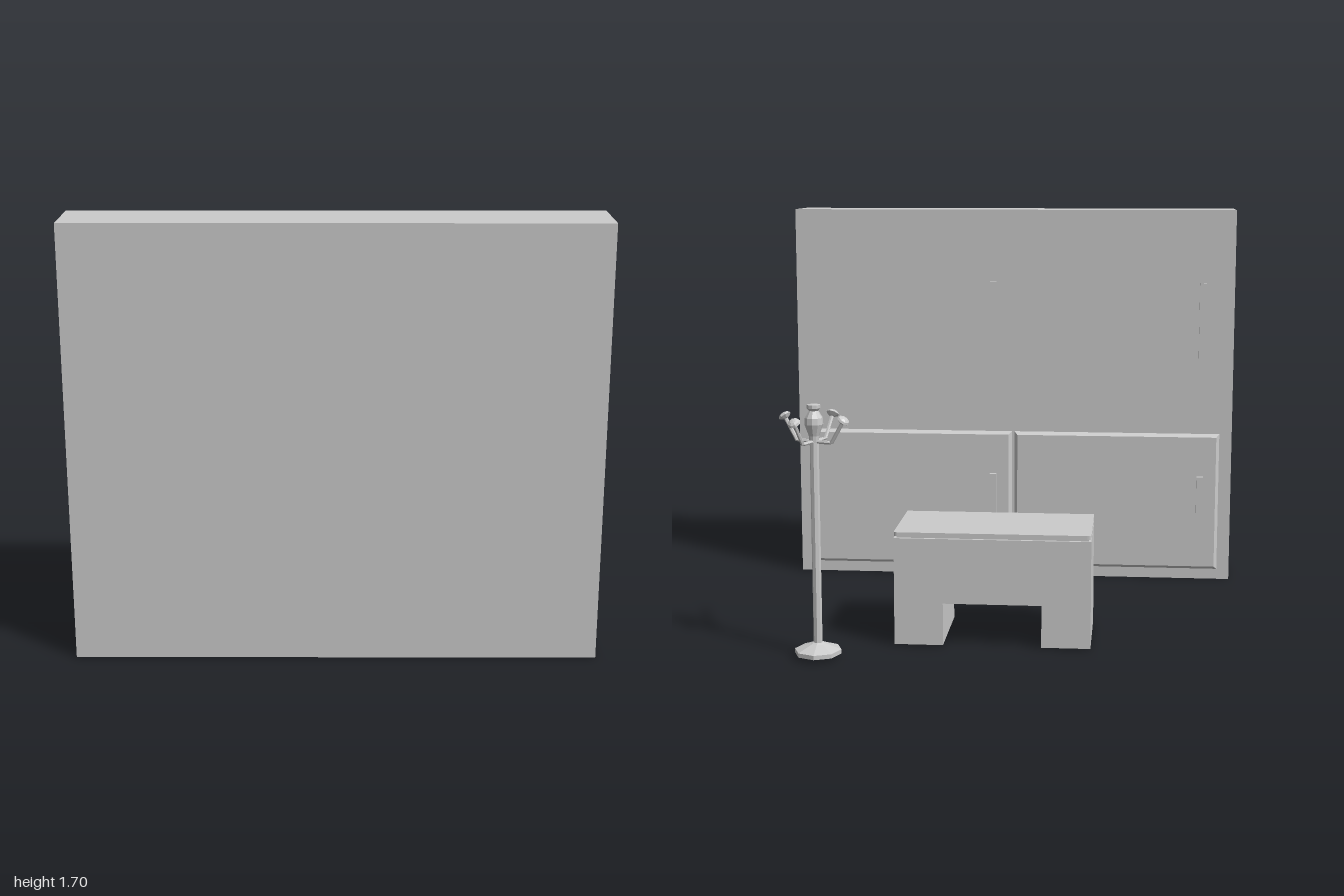
import * as THREE from 'three';

const grey = new THREE.MeshStandardMaterial({ color: 0xcccccc, flatShading: true });

function add(parent, name, geometry, x = 0, y = 0, z = 0) {
  const mesh = new THREE.Mesh(geometry, grey);
  mesh.name = name;
  mesh.position.set(x, y, z);
  parent.add(mesh);
  return mesh;
}

// Box given by its minimum and maximum corners
function box(parent, name, [x0, y0, z0], [x1, y1, z1]) {
  return add(parent, name, new THREE.BoxGeometry(x1 - x0, y1 - y0, z1 - z0),
    (x0 + x1) / 2, (y0 + y1) / 2, (z0 + z1) / 2);
}

function group(parent, name) {
  const g = new THREE.Group();
  g.name = name;
  parent.add(g);
  return g;
}

const lathe = (pairs, sides) =>
  new THREE.LatheGeometry(pairs.map(([r, y]) => new THREE.Vector2(r, y)), sides);

// Door panel whose -z face is inset to give sloping edges
function doorGeometry(w, h, d, inset) {
  const g = new THREE.BoxGeometry(w, h, d);
  const p = g.attributes.position;
  for (let i = 0; i < p.count; i++) {
    if (p.getZ(i) > 0) continue;
    p.setX(i, p.getX(i) - Math.sign(p.getX(i)) * inset);
    p.setY(i, p.getY(i) - Math.sign(p.getY(i)) * inset);
  }
  g.computeVertexNormals();
  return g;
}

function buildCabinet(root) {
  const cabinet = group(root, 'cabinet');
  box(cabinet, 'cabinetBody', [-1, 0, 0.593], [1, 1.695, 0.843]);
  for (const x of [-0.475, 0.475]) {
    add(cabinet, 'lowerDoor', doorGeometry(0.94, 0.635, 0.018, 0.015), x, 0.364, 0.585);
    const hx = x - 0.383;
    box(cabinet, 'lowerHandle', [hx - 0.015, 0.26, 0.558], [hx + 0.015, 0.485, 0.577]);
    box(cabinet, 'upperHandle', [hx - 0.015, 1.01, 0.577], [hx + 0.015, 1.37, 0.594]);
  }
}

function buildDesk(root) {
  const desk = group(root, 'desk');
  const x0 = -0.395, x1 = 0.387, zBack = -0.525, zFront = -0.138;
  // Two pedestals joined by a thin panel, open on the +z side
  box(desk, 'pedestal', [x0, 0.004, zBack], [x0 + 0.195, 0.438, zFront]);
  box(desk, 'pedestal', [x1 - 0.195, 0.004, zBack], [x1, 0.438, zFront]);
  box(desk, 'modestyPanel', [x0 + 0.195, 0.175, zBack], [x1 - 0.195, 0.438, zBack + 0.03]);
  box(desk, 'topSpacer', [x0 + 0.01, 0.436, zBack + 0.012], [x1 - 0.01, 0.448, zFront]);

  // Worktop with two rounded corners
  const r = 0.015, s = new THREE.Shape();
  s.moveTo(x0, -zFront);
  s.lineTo(x1, -zFront);
  s.lineTo(x1, -zBack - r);
  s.quadraticCurveTo(x1, -zBack, x1 - r, -zBack);
  s.lineTo(x0 + r, -zBack);
  s.quadraticCurveTo(x0, -zBack, x0, -zBack - r);
  s.closePath();
  const top = new THREE.ExtrudeGeometry(s, { depth: 0.016, bevelEnabled: false, curveSegments: 4 });
  top.rotateX(-Math.PI / 2);
  add(desk, 'worktop', top, 0, 0.446, 0);
}

function buildCoatStand(root) {
  const stand = group(root, 'coatStand');
  stand.position.set(0.66, 0, -0.698);
  add(stand, 'standBase', lathe([[0, 0.015], [0.092, 0.015], [0.092, 0.032], [0.03, 0.055], [0.02, 0.06], [0, 0.06]], 8));
  add(stand, 'pole', new THREE.CylinderGeometry(0.0175, 0.0175, 0.81, 8), 0, 0.46, 0);
  add(stand, 'finial', lathe([[0, 0.85], [0.018, 0.85], [0.02, 0.875], [0.036, 0.92], [0.034, 0.945],
    [0.018, 0.972], [0.026, 0.982], [0.026, 0.995], [0, 0.998]], 10));

  // Four bent arms, each ending in a domed peg
  const path = new THREE.CurvePath();
  const pts = [[0.01, 0.853], [0.078, 0.853], [0.132, 0.94]].map(([x, y]) => new THREE.Vector3(x, y, 0));
  path.add(new THREE.LineCurve3(pts[0], pts[1]));
  path.add(new THREE.LineCurve3(pts[1], pts[2]));
  const armGeometry = new THREE.TubeGeometry(path, 10, 0.0075, 6);
  const pegGeometry = lathe([[0, -0.012], [0.012, -0.01], [0.026, 0], [0.022, 0.008], [0.012, 0.013], [0, 0.015]], 8);
  for (let i = 0; i < 4; i++) {
    const arm = group(stand, 'hook');
    arm.rotation.y = 1.19 + i * Math.PI / 2;
    add(arm, 'hookArm', armGeometry);
    add(arm, 'hookPeg', pegGeometry, 0.132, 0.942, 0).rotation.z = -0.65;
  }
}

export function createModel() {
  const root = new THREE.Group();
  root.name = 'officeFurniture';
  buildCabinet(root);
  buildDesk(root);
  buildCoatStand(root);
  return root;
}
